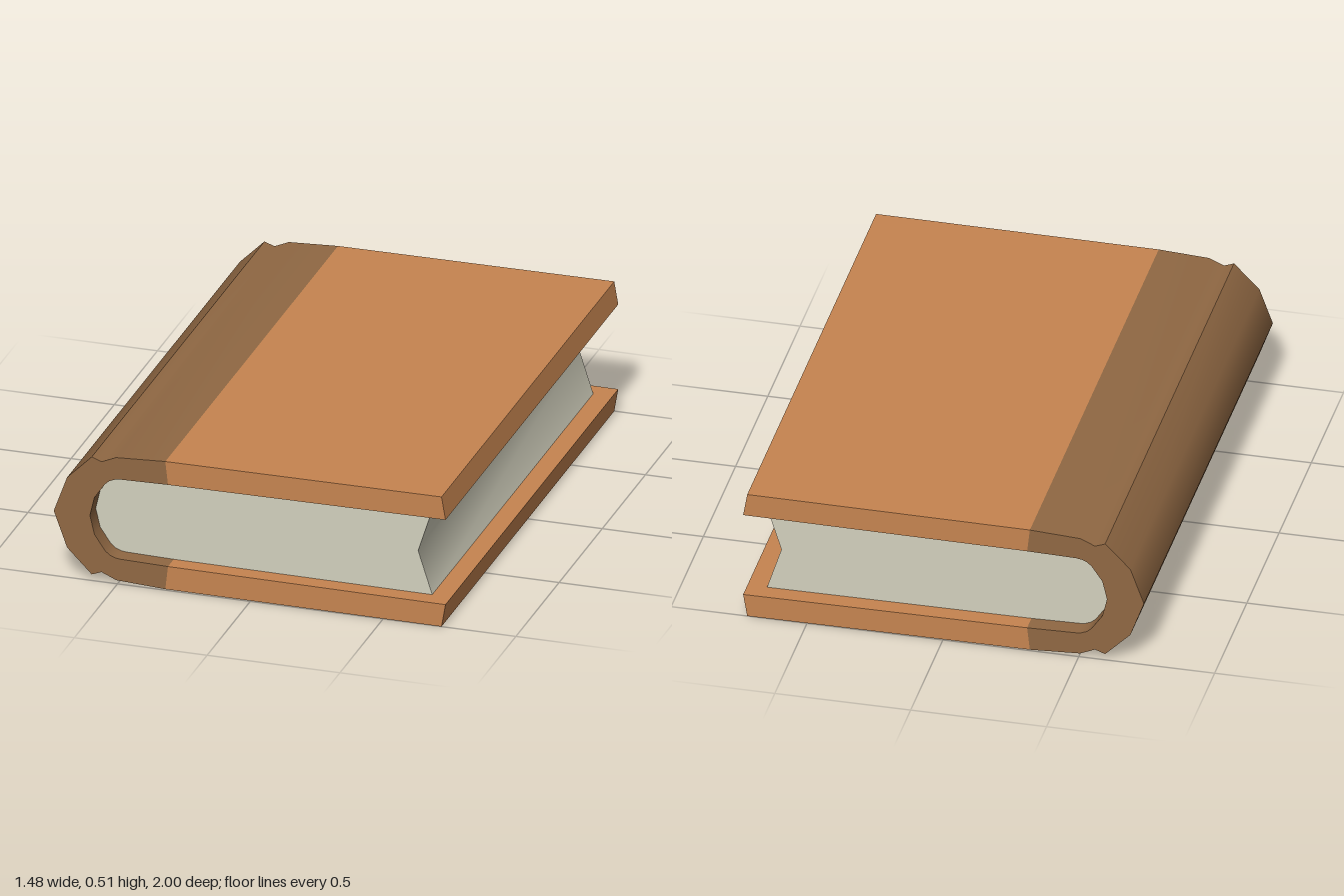
import * as THREE from 'three';
import { toCreasedNormals } from 'three/addons/utils/BufferGeometryUtils.js';

const MID = 0.254; // half the book's thickness

// Upper half-profiles, as [x, height above the middle]
const SPINE_OUTER = [[-0.74, 0], [-0.69, 0.137], [-0.597, 0.23], [-0.56, 0.216], [-0.505, 0.24], [-0.32, 0.25]];
const INNER = [[-0.604, 0], [-0.587, 0.072], [-0.547, 0.13], [-0.53, 0.145], [-0.51, 0.153], [-0.49, 0.156], [-0.31, 0.16]];
const BOARD = [[-0.32, 0.25], [0.72, 0.254], [0.735, 0.166], [-0.31, 0.16]];
const FORE_EDGE = [[0.663, 0.165], [0.61, 0]];

const flip = (points) => points.map(([x, h]) => [x, -h]);

// Joins a half-profile to its mirror image, running bottom to top
const whole = (half) => [...flip(half.slice(1)).reverse(), ...half];

// Extrudes a cross-section along z, centred, smoothing gentle bends only
function slab(name, points, length, material) {
  const shape = new THREE.Shape(points.map(([x, h]) => new THREE.Vector2(x, MID + h)));
  const geometry = new THREE.ExtrudeGeometry(shape, { depth: length, bevelEnabled: false });
  geometry.translate(0, 0, -length / 2);
  const mesh = new THREE.Mesh(toCreasedNormals(geometry, 0.8), material);
  mesh.name = name;
  return mesh;
}

function flat(name, color) {
  const material = new THREE.MeshStandardMaterial({ color });
  material.name = name;
  return material;
}

export function createModel() {
  const coverLeather = flat('cover leather', 0xc68450);
  const spineLeather = flat('spine leather', 0x906843);
  const paper = flat('paper', 0xd2d0bd);

  const book = new THREE.Group();
  book.name = 'book';

  // Cover boards
  book.add(slab('topBoard', BOARD, 2, coverLeather));
  book.add(slab('bottomBoard', flip(BOARD), 2, coverLeather));

  // Rounded spine with hinge grooves
  book.add(slab('spine', [...whole(SPINE_OUTER), ...whole(INNER).reverse()], 2, spineLeather));

  // Page block with a hollow fore edge, set back from the cover ends
  book.add(slab('pages', whole([...INNER, ...FORE_EDGE].slice(0, -1)).concat([FORE_EDGE[1]]), 1.865, paper));

  return book;
}
